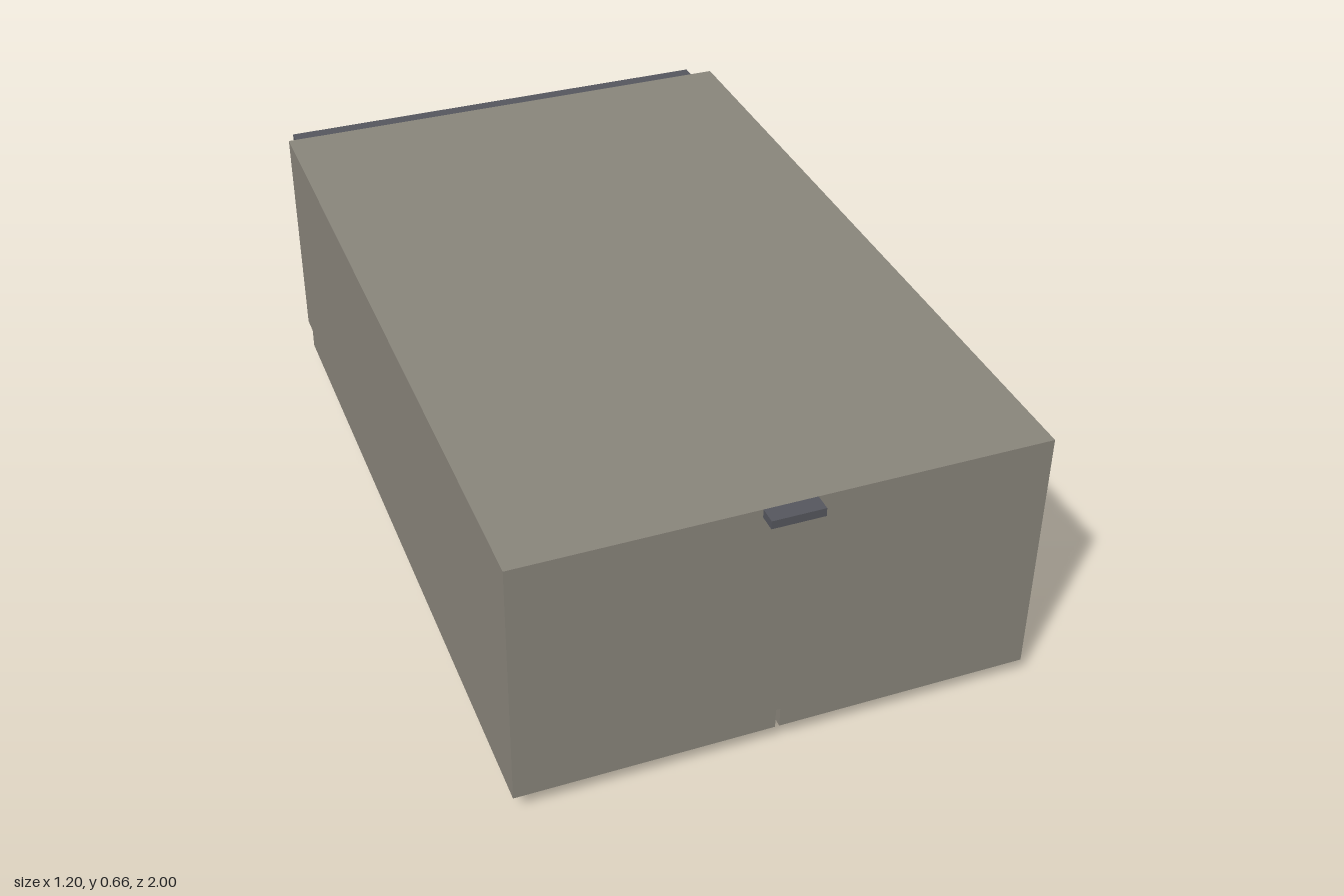
import * as THREE from 'three';

const material = (color) => new THREE.MeshStandardMaterial({ color });

export function createModel() {
  const model = new THREE.Group();
  model.name = 'cabinetLyingOnItsDoors';
  const paint = material(0x88847a);
  const dark = material(0x55565d);
  const copper = material(0x9a5335);
  const label = material(0xa8a8a8);

  // Box given by its min and max on each axis
  const box = (name, mat, [x0, x1], [y0, y1], [z0, z1]) => {
    const mesh = new THREE.Mesh(new THREE.BoxGeometry(x1 - x0, y1 - y0, z1 - z0), mat);
    mesh.position.set((x0 + x1) / 2, (y0 + y1) / 2, (z0 + z1) / 2);
    mesh.name = name;
    model.add(mesh);
    return mesh;
  };
  const mirrored = (side, a, b) => (side > 0 ? [a, b] : [-b, -a]);

  // Carcass: top, base and back boards between the two sides
  box('topBoard', paint, [-0.55, 0.55], [0.095, 0.66], [0.91, 0.96]);
  box('baseBoard', paint, [-0.55, 0.55], [0.095, 0.66], [-0.9, -0.85]);
  box('backBoard', paint, [-0.55, 0.55], [0.61, 0.66], [-0.85, 0.91]);
  box('shelf', paint, [-0.55, 0.55], [0.13, 0.61], [0.03, 0.07]);

  // Plinth under the base and hanging tab over the top
  box('plinth', dark, [-0.57, 0.57], [0.13, 0.625], [-1, -0.9]);
  box('hangingTab', dark, [-0.06, 0.06], [0.64, 0.66], [0.96, 1]);

  // Octagonal handle bar section
  const c = 0.006, r = 0.015;
  const section = new THREE.Shape([
    [-r, -r + c], [-r + c, -r], [r - c, -r], [r, -r + c],
    [r, r - c], [r - c, r], [-r + c, r], [-r, r - c],
  ].map(([x, y]) => new THREE.Vector2(x, y)));
  const bar = new THREE.ExtrudeGeometry(section, { depth: 0.22, bevelEnabled: false });

  for (const side of [1, -1]) {
    const s = side > 0 ? 'left' : 'right';
    box(s + 'Side', paint, mirrored(side, 0.55, 0.6), [0.095, 0.66], [-0.9, 0.96]);

    // Door with raised panel and label plate
    box(s + 'Door', paint, mirrored(side, 0.005, 0.6), [0.045, 0.095], [-0.85, 0.96]);
    box(s + 'DoorPanel', paint, mirrored(side, 0.045, 0.56), [0.04, 0.046], [-0.79, 0.9]);
    box(s + 'LabelPlate', label, mirrored(side, 0.19, 0.4), [0.037, 0.041], [0.63, 0.79]);

    // Handle with a small stub at its lower end
    const handle = new THREE.Mesh(bar, copper);
    handle.name = s + 'Handle';
    handle.position.set(side * 0.06, r, -0.03);
    model.add(handle);
    box(s + 'HandleStub', copper, mirrored(side, 0.05, 0.07), [0.02, 0.034], [-0.03, -0.015]);
  }
  return model;
}
